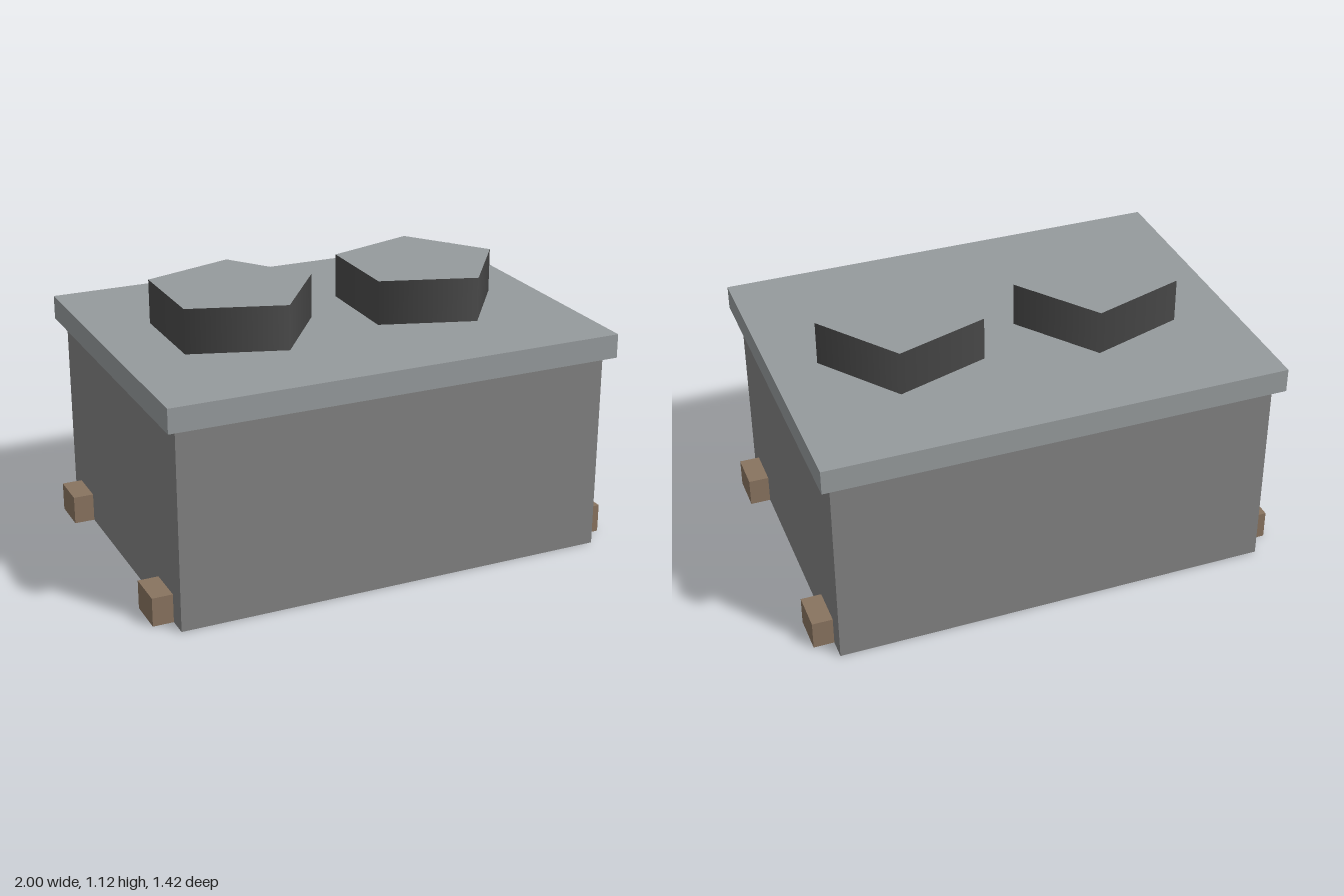
import * as THREE from 'three';

const material = (color) => new THREE.MeshStandardMaterial({ color });

export function createModel() {
  const model = new THREE.Group();
  model.name = 'stove';

  const plate = material(0x959a9c);
  const casing = material(0x808080);
  const dark = material(0x484848);
  const brown = material(0x88735f);

  const add = (name, geometry, mat, x, y, z) => {
    const mesh = new THREE.Mesh(geometry, mat);
    mesh.name = name;
    mesh.position.set(x, y, z);
    model.add(mesh);
  };

  // Main casing and the overhanging top plate
  add('body', new THREE.BoxGeometry(1.83, 0.835, 1.334), casing, 0, 0.4175, 0);
  add('topPlate', new THREE.BoxGeometry(1.91, 0.1, 1.416), plate, 0, 0.885, 0);

  // Two five-sided burners, each pointing to +x, smooth dark sides and plate-coloured caps
  const burner = new THREE.CylinderGeometry(0.348, 0.348, 0.185, 5, 1, false, Math.PI / 2);
  add('burnerRight', burner, [dark, plate, plate], -0.418, 1.0275, 0);
  add('burnerLeft', burner, [dark, plate, plate], 0.415, 1.0275, 0);

  // Feet projecting from the lower sides
  const foot = new THREE.BoxGeometry(0.085, 0.12, 0.164);
  for (const [side, sx] of [['Left', 1], ['Right', -1]]) {
    for (const [end, sz] of [['front', 1], ['back', -1]]) {
      add(`${end}${side}Foot`, foot, brown, sx * 0.9575, 0.06, sz * 0.5);
    }
  }

  return model;
}
